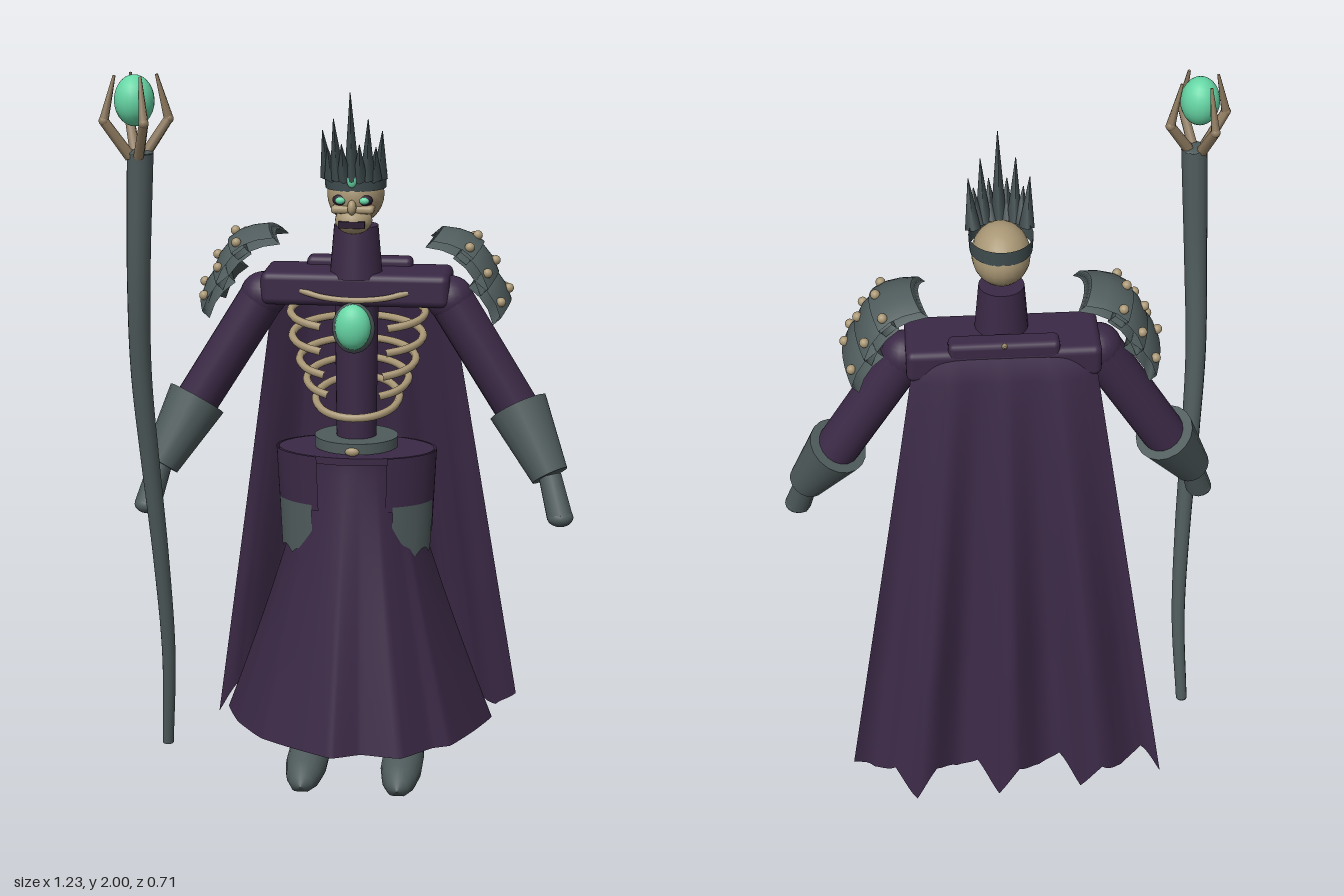
import * as THREE from 'three';
import { RoundedBoxGeometry } from 'three/addons/geometries/RoundedBoxGeometry.js';
import { ParametricGeometry } from 'three/addons/geometries/ParametricGeometry.js';

const paint = (name, color, side = THREE.FrontSide) => {
  const m = new THREE.MeshStandardMaterial({ color, side });
  m.name = name;
  return m;
};
const V = (x, y, z) => new THREE.Vector3(x, y, z);
const lerp = THREE.MathUtils.lerp;

export function createModel() {
  const cloth = paint('purple cloth', 0x3b2946, THREE.DoubleSide);
  const steel = paint('grey steel', 0x4f5b5c, THREE.DoubleSide);
  const crownMat = paint('dark crown metal', 0x414e50, THREE.DoubleSide);
  const bone = paint('bone', 0xa99775);
  const claw = paint('bronze claw', 0x8f7b60);
  const gem = paint('green gem', 0x66d6a5);
  const dark = paint('dark hollow', 0x2a1c30);

  const root = new THREE.Group();
  root.name = 'undeadKing';
  const body = new THREE.Group();
  body.name = 'body';
  body.position.x = 0.017;
  root.add(body);

  const add = (name, geo, mat, pos = [0, 0, 0], parent = body) => {
    const m = new THREE.Mesh(geo, mat);
    m.name = name;
    m.position.set(...pos);
    parent.add(m);
    return m;
  };
  const ball = (name, mat, pos, rx, ry = rx, rz = rx, parent = body) =>
    add(name, new THREE.SphereGeometry(1, 20, 14).scale(rx, ry, rz), mat, pos, parent);
  // Tapered cylinder between two points
  const limb = (name, mat, a, b, ra, rb, sides = 18, parent = body) => {
    const d = b.clone().sub(a);
    const m = add(name, new THREE.CylinderGeometry(rb, ra, d.length(), sides), mat,
      a.clone().add(b).multiplyScalar(0.5).toArray(), parent);
    m.quaternion.setFromUnitVectors(V(0, 1, 0), d.normalize());
    return m;
  };
  const tube = (name, mat, pts, r, n = 24, closed = false) =>
    add(name, new THREE.TubeGeometry(new THREE.CatmullRomCurve3(pts, closed), n, r, 7, closed), mat);
  const sheet = (name, mat, f, nu, nv) =>
    add(name, new ParametricGeometry((u, v, t) => t.set(...f(u, v)), nu, nv), mat);

  // Skirt: top ellipse blending into a wide pleated hem
  const hem = new THREE.CatmullRomCurve3([
    [-0.04, 0.26], [0.04, 0.225], [0.15, 0.24], [0.23, 0.155], [0.28, 0.13], [0.335, 0.02], [0.38, -0.1], [0.32, -0.21],
    [0.17, -0.26], [0, -0.275], [-0.17, -0.26], [-0.32, -0.21], [-0.38, -0.1], [-0.335, 0.02], [-0.28, 0.1], [-0.247, 0.14],
    [-0.17, 0.19],
  ].map(([x, z]) => V(x, 0, z)), true, 'catmullrom', 0.15);
  sheet('skirt', cloth, (u, v) => {
    const p = hem.getPoint(u), a = Math.atan2(p.x, p.z + 0.02), t = Math.pow(v, 1.2);
    return [lerp(0.13 * Math.sin(a), p.x, t), lerp(0.955, 0.145, v), lerp(-0.02 + 0.12 * Math.cos(a), p.z, t)];
  }, 85, 16);
  add('skirtTop', new THREE.CylinderGeometry(1, 1, 0.02, 32).scale(0.215, 1, 0.13), cloth, [0, 0.945, -0.02]);
  add('belt', new THREE.CylinderGeometry(1, 1, 0.03, 32).scale(0.115, 1, 0.11), steel, [0, 0.975, -0.02]);
  ball('beltStud', bone, [0, 0.968, 0.085], 0.02, 0.013, 0.012);

  // Torso and shoulder yoke
  add('torso', new THREE.CylinderGeometry(0.06, 0.055, 0.44, 20), cloth, [0, 1.19, -0.02]);
  add('yoke', new RoundedBoxGeometry(0.51, 0.09, 0.19, 3, 0.02), cloth, [0, 1.405, -0.045]);
  add('backCollar', new RoundedBoxGeometry(0.29, 0.05, 0.06, 2, 0.015), cloth, [0, 1.447, -0.11]);
  add('neck', new THREE.CylinderGeometry(0.06, 0.072, 0.14, 20), cloth, [0, 1.505, -0.01]);
  limb('neckSpine', bone, V(0, 1.44, -0.09), V(0, 1.475, -0.155), 0.02, 0.003, 8);

  // Ribs: tilted loops open at the front, the lowest one closed
  [[1.33, 0.185, 0.1], [1.265, 0.18, 0.115], [1.2, 0.16, 0.115], [1.145, 0.14, 0.115], [1.09, 0.115, 0.115]].forEach(([y, rx, rz], i) => {
    const closed = i === 4, gap = closed ? 0 : 0.5, n = 16, pts = [];
    for (let k = 0; k < n + (closed ? 0 : 1); k++) {
      const a = gap + (k / n) * (Math.PI * 2 - gap * 2);
      pts.push(V(rx * Math.sin(a), y - 0.032 * Math.cos(a), -0.045 + rz * Math.cos(a)));
    }
    tube('rib', bone, pts, 0.011, 40, closed);
  });
  tube('necklace', bone, [V(-0.145, 1.402, 0.045), V(-0.08, 1.388, 0.06), V(0, 1.383, 0.066),
    V(0.08, 1.388, 0.06), V(0.145, 1.402, 0.045)], 0.008);
  ball('amuletSetting', steel, [0, 1.305, 0.055], 0.058, 0.07, 0.03);
  ball('amuletGem', gem, [0, 1.31, 0.07], 0.049, 0.062, 0.037);

  // Cape with folds and a torn hem
  sheet('cape', cloth, (u, v) => {
    const s = u * 2 - 1;
    const tooth = 1 - Math.abs(((u * 7.5) % 1) - 0.5) * 2;
    const y = lerp(1.43, 0.15 - 0.095 * (1 - tooth) * (0.65 + 0.35 * Math.cos(u * 23)), v);
    const fold = Math.cos(s * Math.PI * 3.4) * 0.035 * Math.min(1, v * 1.4);
    const edge = Math.pow(Math.abs(s), 6) * 0.025;
    return [s * lerp(0.235, 0.44, v), y, -0.14 - 0.175 * Math.pow(v, 0.75) - fold + edge];
  }, 75, 20);

  // Head
  ball('skull', bone, [0, 1.663, 0], 0.077, 0.083, 0.092);
  ball('jaw', bone, [0, 1.598, 0.05], 0.05, 0.038, 0.055);
  add('cheekbones', new RoundedBoxGeometry(0.115, 0.022, 0.05, 2, 0.01), bone, [0, 1.63, 0.066]);
  ball('nose', bone, [0, 1.638, 0.095], 0.012, 0.02, 0.016);
  add('mouth', new THREE.BoxGeometry(0.07, 0.018, 0.008), dark, [0, 1.593, 0.102]);
  // Crown: band and a fan of forward-leaning blades
  add('crownBand', new THREE.CylinderGeometry(1, 0.97, 0.042, 32, 1, true).scale(0.084, 1, 0.092), crownMat, [0, 1.7, 0]);
  ball('crownGem', gem, [0, 1.712, 0.094], 0.014, 0.022, 0.01);
  const heights = [0.235, 0.1, 0.165, 0.09, 0.13];
  for (let i = -4; i <= 4; i++) {
    const a = i * 0.26, x = 0.08 * Math.sin(a), z = 0.088 * Math.cos(a);
    limb('crownSpike', crownMat, V(x, 1.71, z), V(x * 1.15, 1.71 + heights[Math.abs(i)], z + 0.025 + 0.02 * Math.cos(a)),
      0.021, 0.001, 4);
  }

  for (const s of [1, -1]) {
    const P = (x, y, z) => V(s * x, y, z);
    // Eyes
    ball('eyeSocket', dark, [s * 0.032, 1.655, 0.076], 0.022, 0.015, 0.014);
    ball('eyeGlow', gem, [s * 0.032, 1.655, 0.087], 0.013, 0.009, 0.007);

    // Arm
    const shoulder = P(0.255, 1.375, -0.02), elbow = P(0.452, 1.06, -0.01), wrist = P(0.535, 0.91, 0.055);
    ball('shoulder', cloth, shoulder.toArray(), 0.064);
    limb('upperArm', cloth, shoulder, elbow, 0.062, 0.06);
    limb('gauntlet', steel, P(0.443, 1.08, -0.018), wrist, 0.083, 0.052);
    limb('hand', steel, wrist, P(0.565, 0.805, 0.092), 0.032, 0.036, 10);
    ball('knuckles', steel, [s * 0.566, 0.805, 0.093], 0.036, 0.026, 0.036);

    // Layered thick shoulder guard with studs
    [[0.235, 1.575, 0.345, 1.535, 0.085, 0.108], [0.31, 1.55, 0.385, 1.455, 0.1, 0.12],
      [0.352, 1.475, 0.42, 1.38, 0.112, 0.132]].forEach(([x0, y0, x1, y1, w0, w1]) => {
      const at = (u, t, lift = 0) => {
        const k = u * 2 - 1, bulge = 0.012 * Math.sin(t * Math.PI) + lift;
        return [s * (lerp(x0, x1, t) - 0.022 * k * k + bulge * 0.8), lerp(y0, y1, t) - 0.025 * k * k + bulge * 0.7,
          -0.005 + k * lerp(w0, w1, t)];
      };
      sheet('shoulderPlate', steel, (u, v) => {
        const c = v * 8, depth = 0.024;
        if (c < 3) return at(u, c / 3);
        if (c < 4) return at(u, 1, -(c - 3) * depth);
        if (c < 7) return at(u, (7 - c) / 3, -depth);
        return at(u, 0, (c - 8) * depth);
      }, 14, 8);
      for (const u of [0.08, 0.5, 0.92]) ball('stud', bone, at(u, 0.75, 0.004), 0.013);
    });

    // Hip panels: cloth above, ragged steel below
    const hip = (a, y, r = 1) => [s * 0.222 * r * Math.sin(a), y, -0.02 + 0.135 * r * Math.cos(a)];
    sheet('hipCloth', cloth, (u, v) => {
      const a = lerp(0.45, 2.6, u);
      return hip(a, lerp(0.955, 0.8 - 0.1 * Math.sin(Math.max(0, u - 0.4) / 0.6 * Math.PI), v), 1 - 0.05 * v);
    }, 24, 6);
    sheet('hipPlate', steel, (u, v) => {
      const a = lerp(0.55, 1.5, u);
      return hip(a, lerp(0.815, 0.665 + 0.02 * Math.abs(Math.sin(u * 7)), v), 0.962 - 0.03 * v);
    }, 18, 4);

    // Legs, and boots that taper to the toe and lie flat on the ground
    add('leg', new THREE.CylinderGeometry(0.053, 0.05, 0.48, 16), cloth, [s * 0.13, 0.32, -0.04]);
    const boot = new THREE.LatheGeometry([[0, -0.095], [0.052, -0.094], [0.058, -0.03], [0.058, 0.05], [0.048, 0.115],
      [0.03, 0.16], [0, 0.178]].map(([r, z]) => new THREE.Vector2(r, z)), 20).rotateX(Math.PI / 2);
    const p = boot.attributes.position;
    for (let i = 0; i < p.count; i++) p.setY(i, Math.max(0, p.getY(i) + lerp(0.05, 0.02, (p.getZ(i) + 0.095) / 0.273)));
    boot.computeVertexNormals();
    add('boot', boot, steel, [s * 0.135, 0, 0]);
  }

  // Staff: a bent, tapering pole
  const staff = new THREE.Group();
  staff.name = 'staff';
  root.add(staff);
  const path = new THREE.CatmullRomCurve3([V(-0.522, 0.07, 0.01), V(-0.506, 0.35, 0.055), V(-0.512, 0.65, 0.105),
    V(-0.527, 0.95, 0.155), V(-0.536, 1.2, 0.2), V(-0.529, 1.45, 0.24), V(-0.512, 1.8, 0.265)]);
  const N = 40, R = 12, pole = new THREE.TubeGeometry(path, N, 1, R);
  const pp = pole.attributes.position, q = new THREE.Vector3();
  for (let i = 0; i <= N; i++) {
    const c = path.getPointAt(i / N), r = lerp(0.016, 0.035, i / N);
    for (let j = 0; j <= R; j++) {
      const k = i * (R + 1) + j;
      q.fromBufferAttribute(pp, k).sub(c).multiplyScalar(r).add(c);
      pp.setXYZ(k, q.x, q.y, q.z);
    }
  }
  add('pole', pole, steel, [0, 0, 0], staff);
  ball('poleFoot', steel, [-0.522, 0.07, 0.01], 0.016, 0.004, 0.016, staff);
  ball('poleCap', steel, [-0.512, 1.8, 0.265], 0.035, 0.008, 0.035, staff);

  // Staff head: egg-shaped gem held by four claws
  ball('staffGem', gem, [-0.522, 1.935, 0.275], 0.052, 0.066, 0.055, staff);
  for (let i = 0; i < 4; i++) {
    const a = 0.42 + i * Math.PI / 2;
    const at = (r, y) => V(-0.519 + r * Math.cos(a), y, 0.27 - r * Math.sin(a));
    limb('clawBase', claw, at(0.018, 1.79), at(0.085, 1.885), 0.015, 0.013, 6, staff);
    ball('clawJoint', claw, at(0.085, 1.885).toArray(), 0.013, 0.013, 0.013, staff);
    limb('clawTip', claw, at(0.085, 1.885), at(0.055, 2.0), 0.013, 0.004, 6, staff);
  }
  return root;
}
